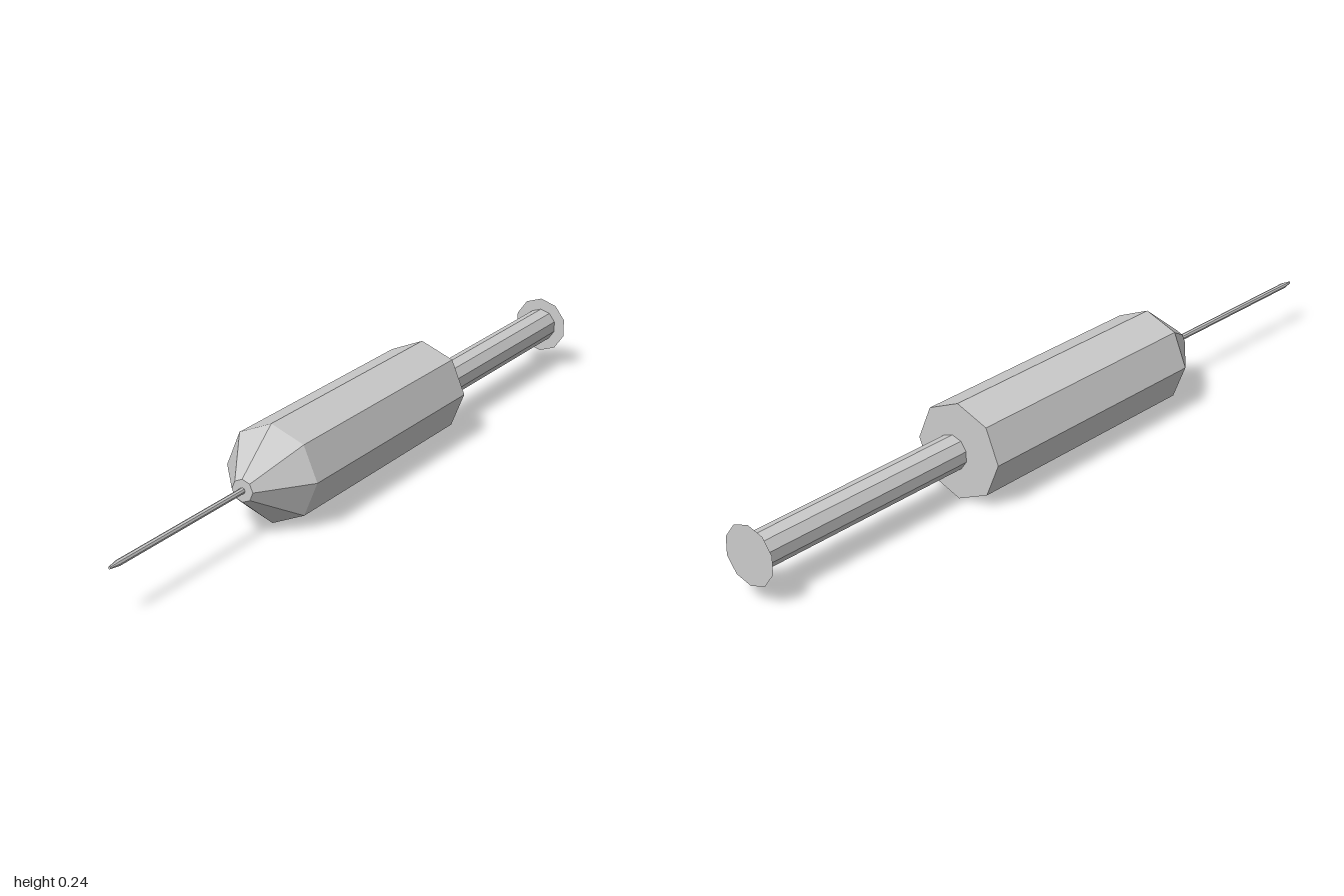
import * as THREE from 'three';

const material = new THREE.MeshStandardMaterial({ color: 0xcccccc, flatShading: true });
const thin = new THREE.MeshStandardMaterial({ color: 0xcccccc, flatShading: true, side: THREE.DoubleSide });

// Turned part lying along z; profile holds [radius, z] pairs from back to front
function turned(name, profile, sides, x, y) {
  const points = profile.map(([r, z]) => new THREE.Vector2(r, z));
  const geometry = new THREE.LatheGeometry(points, sides).rotateX(Math.PI / 2);
  const mesh = new THREE.Mesh(geometry, material);
  mesh.name = name;
  mesh.position.set(x, y, 0);
  return mesh;
}

export function createModel() {
  const group = new THREE.Group();
  group.name = 'syringe';
  const axisY = 0.122;
  const rodX = 0.0175, rodY = 0.115;

  // Octagonal barrel with tapered nose
  group.add(turned('barrel', [[0, -0.35], [0.122, -0.35], [0.122, 0.365], [0.028, 0.49], [0, 0.49]], 8, 0, axisY));

  // Needle with a short pointed tip
  group.add(turned('needle', [[0.0075, 0.48], [0.0075, 0.97], [0.003, 1], [0, 1]], 8, 0, axisY));

  // Plunger rod, slightly off the barrel axis
  group.add(turned('plungerRod', [[0.044, -1], [0.044, -0.34]], 10, rodX, rodY));

  // Paper-thin thumb plate at the back end
  const plate = new THREE.Mesh(new THREE.CircleGeometry(0.074, 10).rotateZ(Math.PI / 2), thin);
  plate.name = 'thumbPlate';
  plate.position.set(rodX, rodY, -1);
  group.add(plate);

  return group;
}
